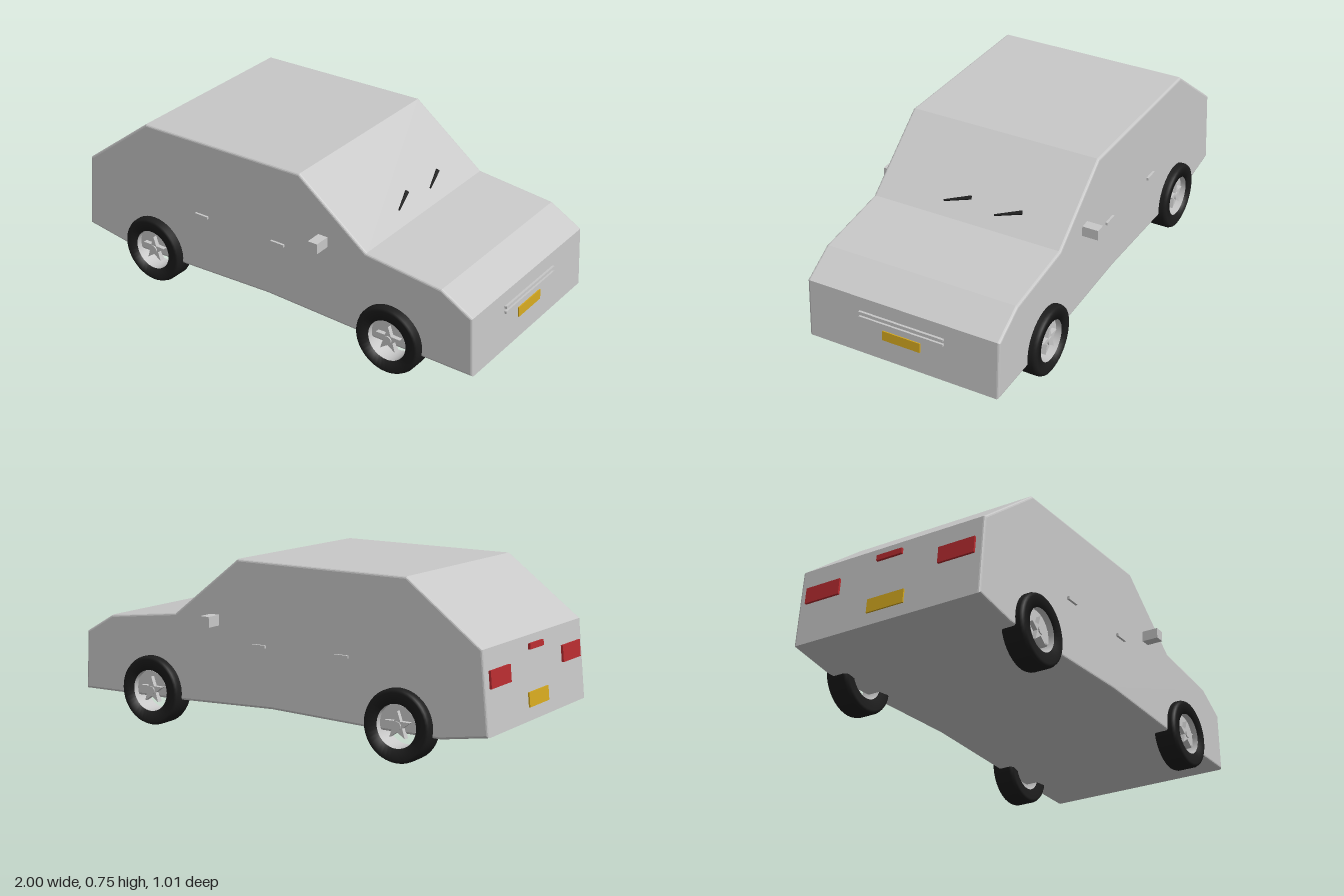
import * as THREE from 'three';

const mat = (name, color, side = THREE.FrontSide) => {
  const m = new THREE.MeshStandardMaterial({ color, side });
  m.name = name;
  return m;
};

export function createModel() {
  const car = new THREE.Group();
  car.name = 'car';
  const silver = mat('silver paint', 0xc8c8c8, THREE.DoubleSide);
  const rubber = mat('black rubber', 0x1c1c1c);
  const red = mat('red lens', 0xb82c30);
  const yellow = mat('yellow plate', 0xd6aa20);

  const add = (name, geo, material, parent = car) => {
    const mesh = new THREE.Mesh(geo, material);
    mesh.name = name;
    parent.add(mesh);
    return mesh;
  };
  const box = (name, material, size, pos, tilt = 0) => {
    const mesh = add(name, new THREE.BoxGeometry(...size), material);
    mesh.position.set(...pos);
    mesh.rotation.z = tilt;
    return mesh;
  };

  // Body: side profile extruded across the width with a small bevel
  const profile = [
    [-1, 0.148], [-0.79, 0.115], [-0.5, 0.12], [0, 0.137], [0.5, 0.12], [0.995, 0.114],
    [0.982, 0.373], [0.84, 0.455], [0.49, 0.495], [0.165, 0.747], [-0.635, 0.737], [-0.968, 0.485],
  ];
  const bevel = 0.01;
  const bodyGeo = new THREE.ExtrudeGeometry(
    new THREE.Shape(profile.map(p => new THREE.Vector2(...p))),
    { depth: 0.87 - 2 * bevel, bevelSize: bevel, bevelThickness: bevel, bevelOffset: -bevel, bevelSegments: 3 });
  bodyGeo.translate(0, 0, -0.435 + bevel);
  add('body', bodyGeo, silver);

  // Wheel: tyre with an open centre, thin rim and a five-pointed spider
  const tyreGeo = new THREE.LatheGeometry([
    [0.09, -0.045], [0.135, -0.053], [0.145, -0.048], [0.15, -0.036], [0.15, 0.036],
    [0.145, 0.048], [0.135, 0.053], [0.09, 0.045], [0.09, -0.045],
  ].map(p => new THREE.Vector2(...p)), 40).rotateX(Math.PI / 2);
  const rimGeo = new THREE.CylinderGeometry(0.089, 0.089, 0.088, 40, 1, true).rotateX(Math.PI / 2);
  const star = new THREE.Shape(Array.from({ length: 10 }, (_, i) => {
    const a = Math.PI / 2 + i * Math.PI / 5, r = i % 2 ? 0.024 : 0.06;
    return new THREE.Vector2(r * Math.cos(a), r * Math.sin(a));
  }));
  const starGeo = new THREE.ExtrudeGeometry(star, { depth: 0.025, bevelEnabled: false });
  const hubGeo = new THREE.CylinderGeometry(0.018, 0.018, 0.06, 20).rotateX(Math.PI / 2);
  for (const side of [1, -1]) {
    for (const x of [-0.61, 0.613]) {
      const wheel = new THREE.Group();
      wheel.name = (x > 0 ? 'front' : 'rear') + 'Wheel';
      wheel.position.set(x, 0.15, side * 0.417);
      if (side < 0) wheel.rotation.y = Math.PI;
      add('tyre', tyreGeo, rubber, wheel);
      add('rim', rimGeo, silver, wheel);
      add('spokes', starGeo, silver, wheel).position.z = 0.012;
      add('hub', hubGeo, silver, wheel).position.z = 0.012;
      car.add(wheel);
    }

    // Mirrors and door handles
    box('mirror', silver, [0.045, 0.045, 0.075], [0.283, 0.485, side * 0.4685]);
    for (const x of [-0.342, 0.057]) {
      box('doorHandle', silver, [0.066, 0.012, 0.02], [x, 0.396, side * 0.435]);
    }

    // Tail lights
    box('tailLight', red, [0.016, 0.07, 0.165], [-0.981, 0.365, side * 0.317], -0.09);
  }

  // Rear centre light and rear plate
  box('brakeLight', red, [0.016, 0.024, 0.12], [-0.975, 0.44, 0], -0.09);
  box('rearPlate', yellow, [0.009, 0.06, 0.172], [-0.994, 0.232, 0], -0.09);

  // Front plate and grille slats
  box('frontPlate', yellow, [0.009, 0.043, 0.172], [0.9895, 0.231, 0], 0.05);
  for (const y of [0.306, 0.283]) {
    box('grilleSlat', silver, [0.02, 0.011, 0.384], [0.986, y, 0], 0.05);
  }

  // Wipers: tapered blades lying on the windscreen
  for (const z of [0.072, -0.162]) {
    const geo = new THREE.BoxGeometry(0.016, 0.008, 0.118);
    const p = geo.attributes.position;
    for (let i = 0; i < p.count; i++) if (p.getZ(i) > 0) p.setX(i, p.getX(i) * 0.35);
    const mount = new THREE.Group();
    mount.name = 'wiper';
    mount.position.set(0.424, 0.55, z);
    mount.rotation.z = -0.66;
    add('wiperBlade', geo, rubber, mount).rotation.y = 0.38;
    car.add(mount);
  }
  return car;
}
